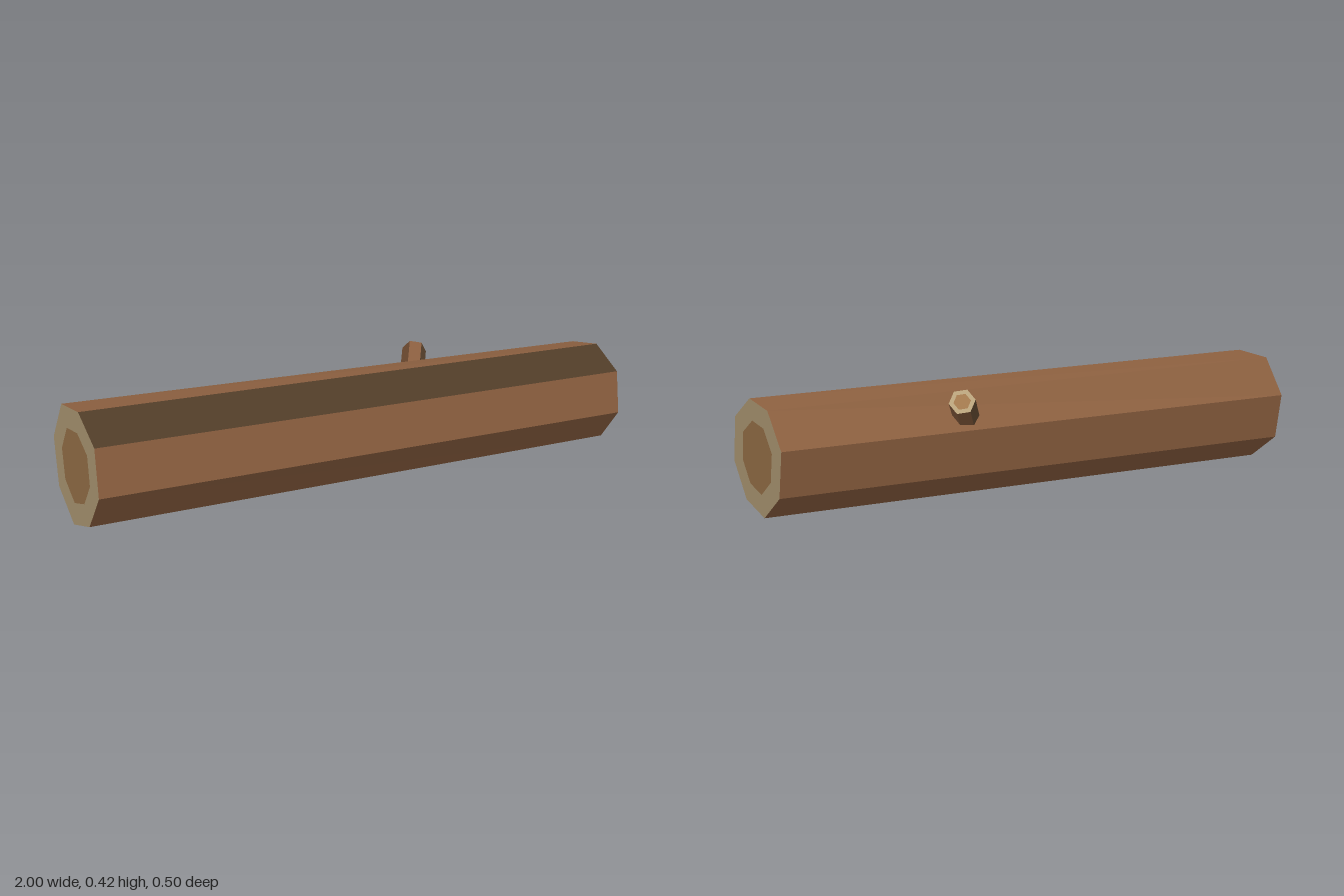
import * as THREE from 'three';

const flat = (name, color) => new THREE.MeshStandardMaterial({ name, color, flatShading: true, side: THREE.DoubleSide });

// Builds one mesh from a list of four-cornered faces
function quads(name, faces, material) {
  const pos = [];
  for (const [a, b, c, d] of faces) for (const p of [a, b, c, a, c, d]) pos.push(p.x, p.y, p.z);
  const geo = new THREE.BufferGeometry();
  geo.setAttribute('position', new THREE.Float32BufferAttribute(pos, 3));
  geo.computeVertexNormals();
  const mesh = new THREE.Mesh(geo, material);
  mesh.name = name;
  return mesh;
}

// Side faces between two rings, keeping only the chosen indices
const sides = (r1, r2, pick) => pick.map((i) => {
  const j = (i + 1) % r1.length;
  return [r1[i], r1[j], r2[j], r2[i]];
});

// Sawn end: pale outer ring around a darker core
function sawnEnd(group, name, ring, scale, sapwood, heartwood) {
  const n = ring.length;
  const centre = ring.reduce((s, p) => s.add(p), new THREE.Vector3()).divideScalar(n);
  const inner = ring.map((p) => centre.clone().lerp(p, scale));
  const all = ring.map((_, i) => i);
  group.add(quads(name + 'Sapwood', all.map((i) => [ring[i], inner[i], inner[(i + 1) % n], ring[(i + 1) % n]]), sapwood));
  group.add(quads(name + 'Heartwood', all.map((i) => [centre, inner[(i + 1) % n], inner[i], centre]), heartwood));
}

export function createModel() {
  const bark = flat('bark', 0x8b5f3f);
  const darkBark = flat('dark bark', 0x4f3b27);
  const sapwood = flat('sapwood', 0xd2b98d);
  const heartwood = flat('heartwood', 0xb88a59);

  const model = new THREE.Group();
  model.name = 'log';

  // Trunk: two slightly tilted eight-sided ends, given as [z, y]
  const thin = [[0.09, 0.372], [-0.05, 0.348], [-0.143, 0.232], [-0.112, 0.082],
    [0.014, 0], [0.155, 0.038], [0.243, 0.152], [0.218, 0.3]]
    .map(([z, y]) => new THREE.Vector3(0.99 + 0.025 * y, y, z));
  const thick = [[0.092, 0.422], [-0.063, 0.406], [-0.15, 0.273], [-0.116, 0.113],
    [0.017, 0.026], [0.161, 0.068], [0.253, 0.19], [0.227, 0.345]]
    .map(([z, y]) => new THREE.Vector3(-1.001 + 0.02 * y, y, z));

  const trunk = new THREE.Group();
  trunk.name = 'trunk';
  // The underside is open along face 4
  trunk.add(quads('trunkBark', sides(thin, thick, [0, 1, 2, 3, 5, 6]), bark));
  trunk.add(quads('trunkDarkStrip', sides(thin, thick, [7]), darkBark));
  sawnEnd(trunk, 'leftEnd', thin, 0.62, sapwood, heartwood);
  sawnEnd(trunk, 'rightEnd', [...thick].reverse(), 0.62, sapwood, heartwood);
  model.add(trunk);

  // Branch stub: six-sided, leaning up and back
  const dir = new THREE.Vector3(0.52, 0.41, -0.75).normalize();
  const tipCentre = new THREE.Vector3(0.408, 0.354, -0.222);
  const spoke = new THREE.Vector3(-0.022, 0.037, 0.005);
  const tip = [], root = [];
  for (let i = 0; i < 6; i++) {
    const p = spoke.clone().applyAxisAngle(dir, -i * Math.PI / 3).add(tipCentre);
    tip.push(p);
    root.push(p.clone().addScaledVector(dir, -0.2));
  }
  const branch = new THREE.Group();
  branch.name = 'branch';
  branch.add(quads('branchBark', sides(tip, root, [0, 2, 3, 5]), bark));
  branch.add(quads('branchDarkStrips', sides(tip, root, [1, 4]), darkBark));
  sawnEnd(branch, 'branchEnd', tip, 0.65, sapwood, heartwood);
  model.add(branch);

  return model;
}
